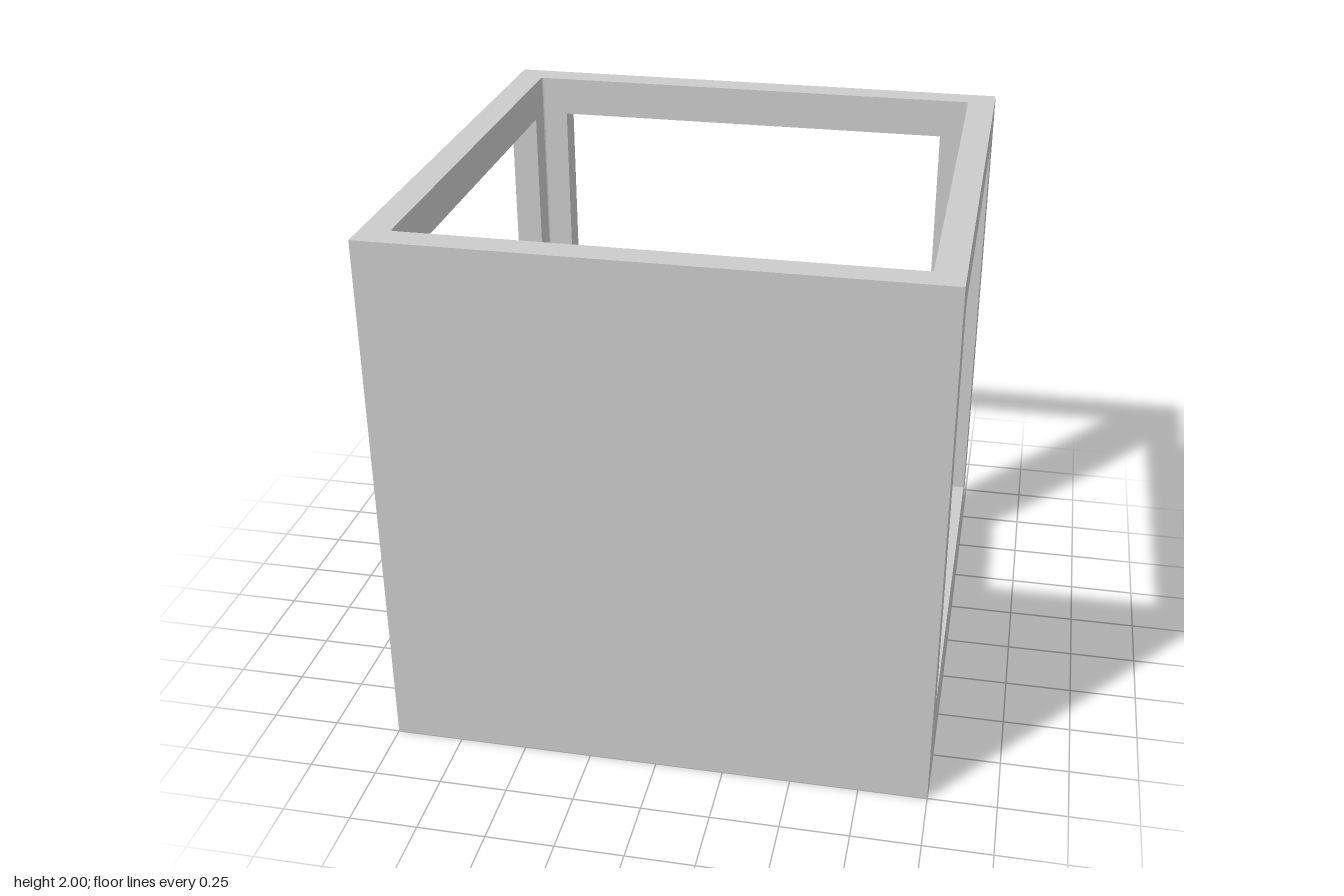
import * as THREE from 'three';

const FLOOR = 0.275, LINTEL = 1.85, TOP = 2; // heights
const IN = 0.895, OPEN = 0.79, R = 0.012;    // cavity half-width, window half-width, inner corner radius

export function createModel() {
  const model = new THREE.Group();
  const material = new THREE.MeshStandardMaterial({ color: 0xcccccc, flatShading: true });

  const add = (name, geometry) => {
    const mesh = new THREE.Mesh(geometry, material);
    mesh.name = name;
    model.add(mesh);
    return mesh;
  };
  const box = (name, w, h, d, x, y, z) =>
    add(name, new THREE.BoxGeometry(w, h, d).translate(x, y, z));
  // Extrude a plan (shape x = x, shape y = -z) upwards from y0 to y1
  const plan = (name, shape, y0, y1) =>
    add(name, new THREE.ExtrudeGeometry(shape, { depth: y1 - y0, bevelEnabled: false, curveSegments: 4 })
      .rotateX(-Math.PI / 2).translate(0, y0, 0));

  // Thick solid base
  box('base', 2, FLOOR, 2, 0, FLOOR / 2, 0);

  // Top rim: square ring with softly rounded inner corners
  const rim = new THREE.Shape([[-1, -1], [1, -1], [1, 1], [-1, 1]].map(p => new THREE.Vector2(...p)));
  const hole = new THREE.Path();
  hole.moveTo(-IN + R, -IN);
  hole.lineTo(IN - R, -IN);
  hole.quadraticCurveTo(IN, -IN, IN, -IN + R);
  hole.lineTo(IN, IN - R);
  hole.quadraticCurveTo(IN, IN, IN - R, IN);
  hole.lineTo(-IN + R, IN);
  hole.quadraticCurveTo(-IN, IN, -IN, IN - R);
  hole.lineTo(-IN, -IN + R);
  hole.quadraticCurveTo(-IN, -IN, -IN + R, -IN);
  rim.holes.push(hole);
  plan('topRim', rim, LINTEL, TOP);

  // Closed front wall with short returns along the sides
  const front = new THREE.Shape();
  front.moveTo(-1, -1);
  front.lineTo(1, -1);
  front.lineTo(1, -OPEN);
  front.lineTo(IN, -OPEN);
  front.lineTo(IN, -IN + R);
  front.quadraticCurveTo(IN, -IN, IN - R, -IN);
  front.lineTo(-IN + R, -IN);
  front.quadraticCurveTo(-IN, -IN, -IN, -IN + R);
  front.lineTo(-IN, -OPEN);
  front.lineTo(-1, -OPEN);
  plan('frontWall', front, FLOOR, LINTEL);

  // L-shaped back posts and the low blocks in their corners
  for (const s of [-1, 1]) {
    const side = s > 0 ? 'left' : 'right';
    const post = new THREE.Shape();
    post.moveTo(s, 1);
    post.lineTo(s * OPEN, 1);
    post.lineTo(s * OPEN, IN);
    post.lineTo(s * (IN - R), IN);
    post.quadraticCurveTo(s * IN, IN, s * IN, IN - R);
    post.lineTo(s * IN, OPEN);
    post.lineTo(s, OPEN);
    plan(side + 'BackPost', post, FLOOR, LINTEL);
    box(side + 'CornerBlock', 0.1, 0.04, 0.1, s * 0.845, FLOOR + 0.02, -0.847);
  }

  // Low ledge along the inside of the front wall
  box('frontLedge', 2 * IN, 0.04, 0.11, 0, FLOOR + 0.02, 0.84);

  // Hairline ridge on the floor, fading out towards the back
  const ridge = new THREE.Shape();
  ridge.moveTo(0.785, 0);
  ridge.lineTo(0.785, 0.006);
  ridge.lineTo(-0.35, 0);
  add('floorRidge', new THREE.ExtrudeGeometry(ridge, { depth: 0.008, bevelEnabled: false })
    .rotateY(-Math.PI / 2).translate(0.284, FLOOR, 0));

  return model;
}
